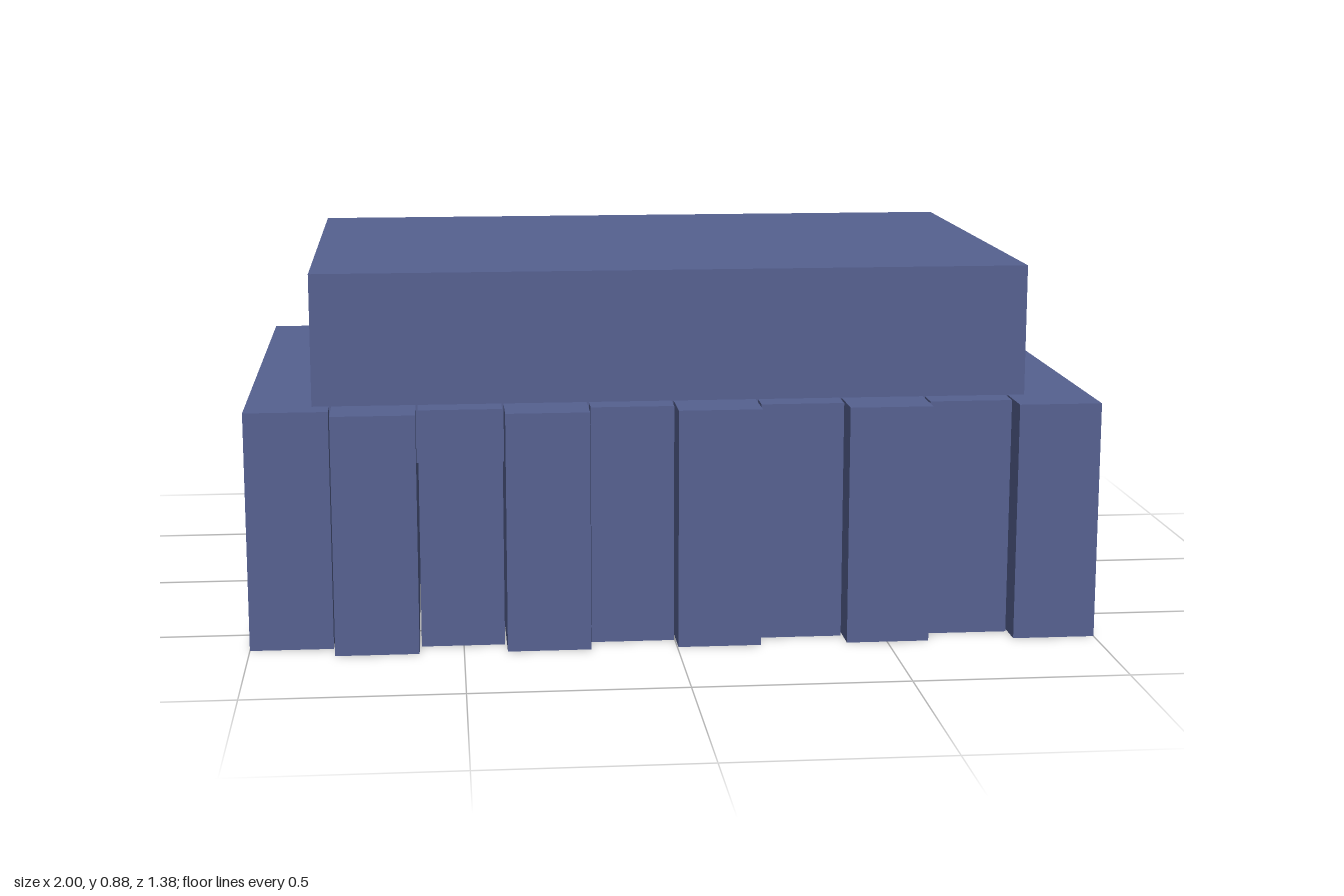
import * as THREE from 'three';

export function createModel() {
  const model = new THREE.Group();
  model.name = 'slattedBlock';
  const slateBlue = new THREE.MeshStandardMaterial({ color: 0x566190 });
  slateBlue.name = 'slateBlue';

  function addBox(name, width, height, depth, x, bottom) {
    const mesh = new THREE.Mesh(new THREE.BoxGeometry(width, height, depth), slateBlue);
    mesh.name = name;
    mesh.position.set(x, bottom + height / 2, 0);
    model.add(mesh);
  }

  // Ten upright slabs with hairline gaps, alternately short and long
  const count = 10, pitch = 0.2005, slabWidth = 0.1955;
  for (let i = 0; i < count; i++) {
    const long = i % 2 === 1;
    const x = (i - (count - 1) / 2) * pitch;
    addBox(long ? 'longSlab' : 'shortSlab', slabWidth, 0.567, long ? 1.382 : 1.264, x, 0);
  }

  // Top block, sunk into the slabs
  addBox('topBlock', 1.69, 0.45, 1.13, 0, 0.428);

  return model;
}
